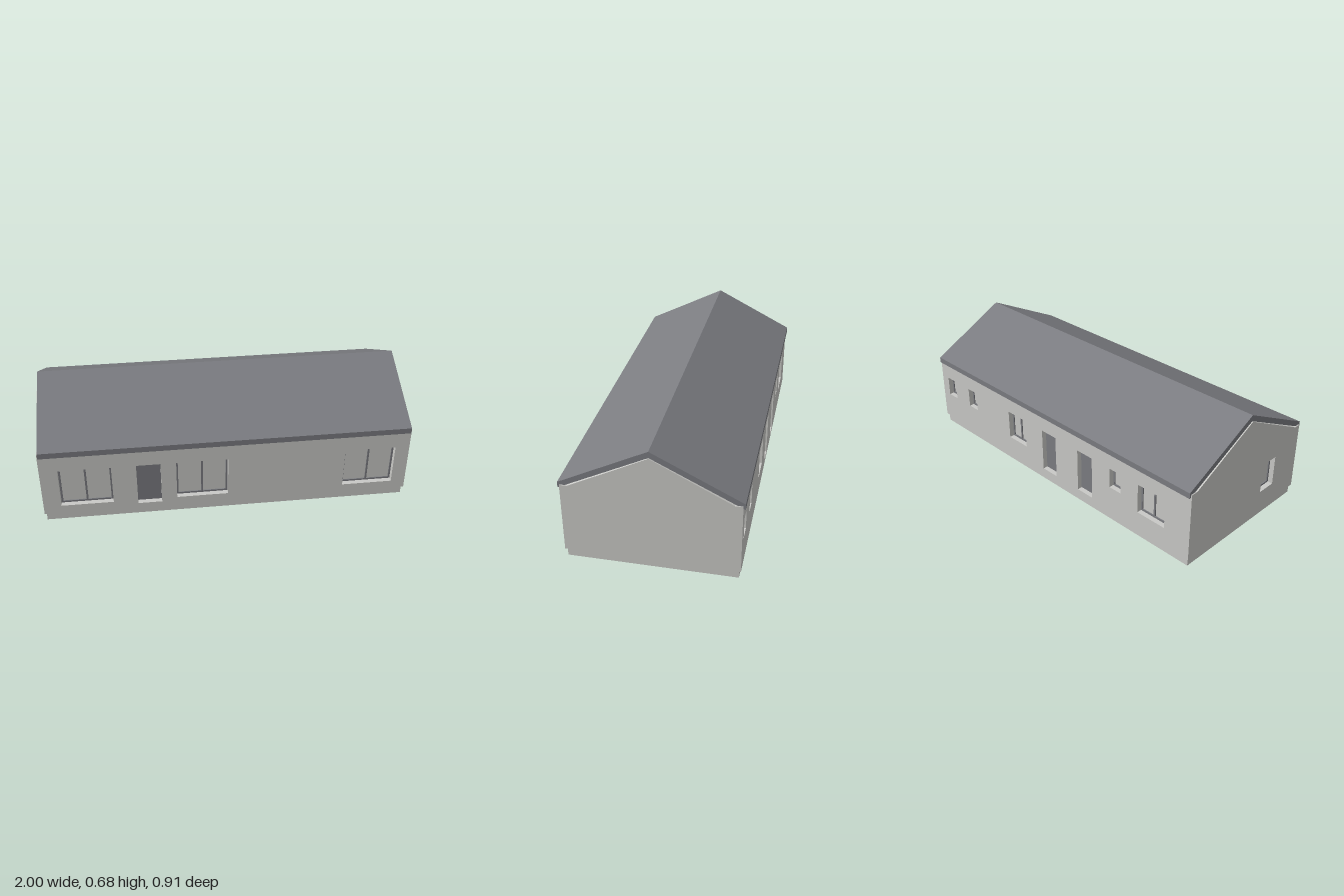
import * as THREE from 'three';

const wallMat = new THREE.MeshStandardMaterial({ color: 0xc9c9c6 });
wallMat.name = 'pale grey wall';
const roofMat = new THREE.MeshStandardMaterial({ color: 0x7b7c81 });
roofMat.name = 'slate grey';

const WALL_DEPTH = 0.04, RECESS = 0.028, FRAME = 0.01;

function add(parent, geometry, material, name, x = 0, y = 0, z = 0) {
  const mesh = new THREE.Mesh(geometry, material);
  mesh.name = name;
  mesh.position.set(x, y, z);
  parent.add(mesh);
  return mesh;
}

const polygon = (points) => new THREE.Shape(points.map(([x, y]) => new THREE.Vector2(x, y)));

function rectPath(x0, x1, y0, y1) {
  return new THREE.Path([[x0, y0], [x1, y0], [x1, y1], [x0, y1]].map(([x, y]) => new THREE.Vector2(x, y)));
}

const extrude = (shape, depth) => new THREE.ExtrudeGeometry(shape, { depth, bevelEnabled: false });

// Frame with one or two panes, set back in its opening
function addWindow(parent, [x0, x1, y0, y1, panes]) {
  const group = new THREE.Group();
  group.name = 'window';
  const frame = polygon([[x0, y0], [x1, y0], [x1, y1], [x0, y1]]);
  const step = (x1 - x0 - FRAME) / panes;
  for (let i = 0; i < panes; i++) {
    const left = x0 + FRAME + i * step;
    frame.holes.push(rectPath(left, left + step - FRAME, y0 + FRAME, y1 - FRAME));
  }
  add(group, extrude(frame, 0.008), roofMat, 'windowFrame', 0, 0, -RECESS - 0.008);
  add(group, new THREE.BoxGeometry(x1 - x0, y1 - y0, 0.004), wallMat, 'windowPane',
    (x0 + x1) / 2, (y0 + y1) / 2, -RECESS - 0.008);
  parent.add(group);
}

function addDoor(parent, [x0, x1, y0, y1]) {
  add(parent, new THREE.BoxGeometry(x1 - x0, y1 - y0, 0.008), roofMat, 'door',
    (x0 + x1) / 2, (y0 + y1) / 2, -RECESS - 0.004);
}

// Wall with its outer face at local z = 0; openings are [x0, x1, y0, y1, panes], no panes means a door
function makeWall(name, outline, openings, angle, distance) {
  const group = new THREE.Group();
  group.name = name;
  const shape = polygon(outline);
  for (const opening of openings) {
    shape.holes.push(rectPath(...opening.slice(0, 4)));
    if (opening[4]) addWindow(group, opening);
    else addDoor(group, opening);
  }
  add(group, extrude(shape, WALL_DEPTH), wallMat, name + 'Panel', 0, 0, -WALL_DEPTH);
  group.rotation.y = angle;
  group.position.set(Math.sin(angle) * distance, 0, Math.cos(angle) * distance);
  return group;
}

export function createModel() {
  const house = new THREE.Group();
  house.name = 'house';

  // Plinth
  add(house, new THREE.BoxGeometry(1.98, 0.048, 0.87), wallMat, 'plinth', 0, 0.024, 0);

  // Long walls
  const base = 0.047, eave = 0.437, top = 0.325;
  const longSide = [[-1, base], [1, base], [1, eave], [-1, eave]];
  house.add(makeWall('frontWall', longSide, [
    [-0.905, -0.625, 0.095, top, 2],
    [-0.493, -0.363, 0.073, top, 0],
    [-0.28, 0, 0.095, top, 2],
    [0.642, 0.922, 0.095, top, 2],
  ], 0, 0.445));
  house.add(makeWall('backWall', longSide, [
    [-0.943, -0.865, 0.21, top, 1],
    [-0.737, -0.659, 0.21, top, 1],
    [-0.355, -0.206, 0.155, top, 2],
    [-0.064, 0.046, 0.073, top, 0],
    [0.22, 0.33, 0.073, top, 0],
    [0.462, 0.54, 0.21, top, 1],
    [0.66, 0.84, 0.155, top, 2],
  ], Math.PI, 0.445));

  // Gable walls
  const gable = [[-0.445, base], [0.445, base], [0.445, eave], [0.405, eave],
    [0, 0.645], [-0.405, eave], [-0.445, eave]];
  house.add(makeWall('rightGable', gable, [], Math.PI / 2, 1));
  house.add(makeWall('leftGable', gable, [[0.135, 0.245, 0.155, top, 1]], -Math.PI / 2, 1));

  // Pitched roof slab with plumb-cut eaves
  const roof = add(house, extrude(polygon([[0.455, 0.418], [0.455, 0.45], [0, 0.68],
    [-0.455, 0.45], [-0.455, 0.418], [0, 0.646]]), 1.99), roofMat, 'roof', -0.995);
  roof.rotation.y = Math.PI / 2;

  return house;
}
